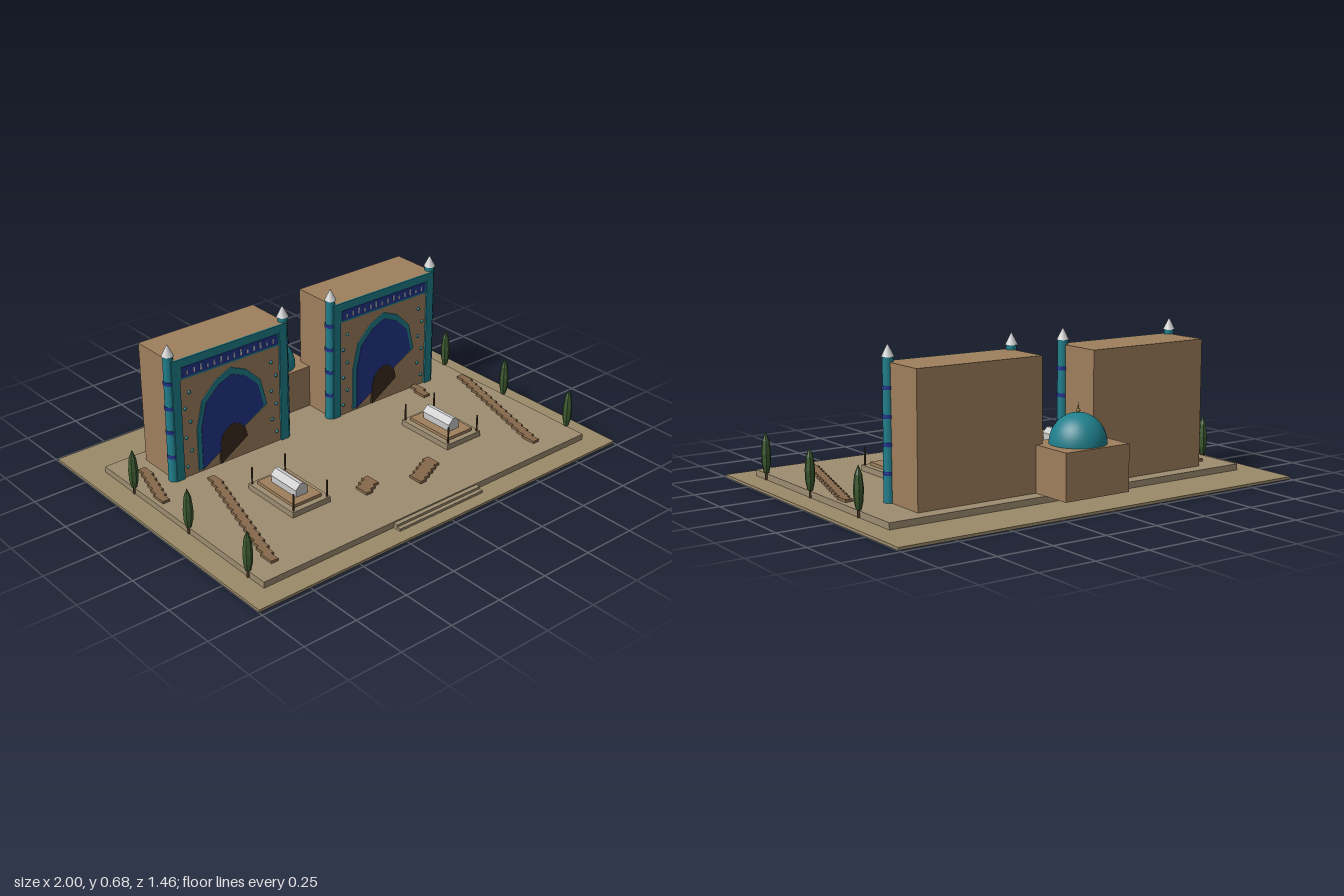
import * as THREE from 'three';

const mat = (color, flatShading = false) => new THREE.MeshStandardMaterial({ color, flatShading });
const M = {
  ground: mat(0x9a8a6a), paving: mat(0x9c8c70), brick: mat(0x9f7f5c), teal: mat(0x1f7f8c),
  blue: mat(0x24358c), stone: mat(0xcccccc), door: mat(0x3a2b1e), grave: mat(0x86694b, true),
  leaf: mat(0x3c5a30, true), trunk: mat(0x4d3826), gold: mat(0x8a7038),
};

function add(parent, name, geometry, material, x = 0, y = 0, z = 0) {
  const mesh = new THREE.Mesh(geometry, material);
  mesh.name = name;
  mesh.position.set(x, y, z);
  parent.add(mesh);
  return mesh;
}

// Box given by its limits on each axis
function block(parent, name, material, x0, x1, y0, y1, z0, z1) {
  return add(parent, name, new THREE.BoxGeometry(x1 - x0, y1 - y0, z1 - z0), material,
    (x0 + x1) / 2, (y0 + y1) / 2, (z0 + z1) / 2);
}

function group(parent, name, x = 0, y = 0, z = 0) {
  const g = new THREE.Group();
  g.name = name;
  g.position.set(x, y, z);
  parent.add(g);
  return g;
}

// Pointed arch panel: left jamb to the floor, closed by a slanting lower edge
function archPanel(parent, name, material, w, base, spring, peak, z, depth) {
  const rise = peak - spring;
  const half = [[1, 0], [0.83, 0.55], [0.44, 0.85]];
  const pts = [
    [-w, base],
    ...half.map(([a, b]) => [-w * a, spring + rise * b]),
    [0, peak],
    ...half.reverse().map(([a, b]) => [w * a, spring + rise * b]),
  ];
  const shape = new THREE.Shape(pts.map(([x, y]) => new THREE.Vector2(x, y)));
  add(parent, name, new THREE.ExtrudeGeometry(shape, { depth, bevelEnabled: false }), material, 0, 0, z);
}

function minaret(parent, x) {
  const g = group(parent, 'minaret', x, 0, -0.22);
  add(g, 'minaretShaft', new THREE.CylinderGeometry(0.022, 0.025, 0.59, 12), M.teal, 0, 0.335, 0);
  for (const y of [0.16, 0.277, 0.39, 0.506])
    add(g, 'minaretBand', new THREE.CylinderGeometry(0.026, 0.026, 0.016, 12), M.blue, 0, y, 0);
  add(g, 'minaretCap', new THREE.ConeGeometry(0.027, 0.053, 12), M.stone, 0, 0.654, 0);
}

function portal(parent, x) {
  const g = group(parent, 'portal', x);
  const front = -0.2;
  block(g, 'portalBody', M.brick, -0.3, 0.3, 0.04, 0.607, -0.435, front);
  // Tiled frame and frieze
  block(g, 'frameTop', M.teal, -0.3, 0.3, 0.575, 0.607, front, front + 0.008);
  for (const s of [-1, 1])
    block(g, 'frameSide', M.teal, s * 0.28 - 0.02, s * 0.28 + 0.02, 0.04, 0.575, front, front + 0.008);
  block(g, 'friezeBorder', M.teal, -0.26, 0.26, 0.51, 0.575, front, front + 0.004);
  block(g, 'frieze', M.blue, -0.25, 0.25, 0.519, 0.567, front, front + 0.007);
  for (let i = 0; i < 14; i++) {
    const h = 0.016 + 0.006 * (i % 3), bx = -0.224 + i * 0.0345;
    block(g, 'friezeBar', M.stone, bx - 0.003, bx + 0.003, 0.53, 0.53 + h, front, front + 0.01);
  }
  // Nested arch panels
  archPanel(g, 'archBorder', M.teal, 0.185, 0.05, 0.25, 0.487, front, 0.006);
  archPanel(g, 'archNiche', M.blue, 0.165, 0.05, 0.25, 0.457, front, 0.009);
  archPanel(g, 'doorway', M.door, 0.072, 0.045, 0.135, 0.222, front, 0.012);
  // Tile studs beside the arch
  for (const s of [-1, 1])
    for (let i = 0; i < 6; i++)
      add(g, 'tileStud', new THREE.SphereGeometry(0.008, 8, 6), M.teal,
        s * (i % 2 ? 0.215 : 0.24), 0.09 + i * 0.07, front);
  for (const s of [-1, 1]) minaret(g, s * 0.298);
}

function domedChamber(parent) {
  const g = group(parent, 'domedChamber', 0, 0, -0.502);
  block(g, 'chamberWalls', M.brick, -0.163, 0.163, 0.04, 0.242, -0.133, 0.133);
  add(g, 'dome', new THREE.SphereGeometry(0.121, 32, 12, 0, Math.PI * 2, 0, Math.PI / 2), M.teal, 0, 0.242, 0)
    .scale.y = 1.06;
  add(g, 'finialBall', new THREE.SphereGeometry(0.009, 10, 8), M.gold, 0, 0.378, 0);
  add(g, 'finialSpike', new THREE.ConeGeometry(0.005, 0.036, 8), M.gold, 0, 0.396, 0);
}

function tomb(parent, x) {
  const g = group(parent, 'tomb', x, 0, 0.196);
  block(g, 'tombBase', M.paving, -0.1, 0.1, 0.04, 0.066, -0.15, 0.15);
  block(g, 'tombStep', M.brick, -0.073, 0.073, 0.066, 0.08, -0.124, 0.124);
  block(g, 'sarcophagus', M.stone, -0.03, 0.03, 0.08, 0.115, -0.083, 0.083);
  const gable = new THREE.Shape([[-0.033, 0.113], [0.033, 0.113], [0.008, 0.138], [-0.008, 0.138]]
    .map(([a, b]) => new THREE.Vector2(a, b)));
  add(g, 'sarcophagusLid', new THREE.ExtrudeGeometry(gable, { depth: 0.17, bevelEnabled: false }),
    M.stone, 0, 0, -0.085);
  for (const sx of [-1, 1])
    for (const sz of [-1, 1])
      add(g, 'cornerPost', new THREE.CylinderGeometry(0.004, 0.004, 0.105, 8), M.trunk,
        sx * 0.088, 0.0925, sz * 0.14);
}

// Row of small round-topped graves between two points
function graveRow(parent, n, x0, z0, x1, z1) {
  const g = group(parent, 'graveRow');
  const top = new THREE.CylinderGeometry(0.015, 0.015, 0.066, 8, 1, false, -Math.PI / 2, Math.PI);
  top.rotateX(-Math.PI / 2);
  for (let i = 0; i < n; i++) {
    const t = i / (n - 1), x = x0 + (x1 - x0) * t, z = z0 + (z1 - z0) * t;
    block(g, 'graveBase', M.grave, x - 0.017, x + 0.017, 0.04, 0.052, z - 0.035, z + 0.035);
    const cap = add(g, 'graveTop', top, M.grave, x, 0.052, z);
    cap.rotation.z = Math.PI;
    cap.material = M.graveTop;
  }
}
M.graveTop = new THREE.MeshStandardMaterial({ color: 0x86694b, flatShading: true, side: THREE.DoubleSide });

function cypress(parent, x, z) {
  const g = group(parent, 'cypress', x, 0, z);
  add(g, 'cypressTrunk', new THREE.CylinderGeometry(0.006, 0.007, 0.06, 6), M.trunk, 0, 0.04, 0);
  const profile = [[0, 0.04], [0.012, 0.045], [0.02, 0.08], [0.022, 0.13], [0.016, 0.185], [0, 0.226]];
  add(g, 'cypressCrown', new THREE.LatheGeometry(profile.map(([r, y]) => new THREE.Vector2(r, y)), 7), M.leaf);
}

export function createModel() {
  const model = new THREE.Group();
  model.name = 'shrineComplex';

  // Ground, platform and entrance steps
  block(model, 'ground', M.ground, -1, 1, 0, 0.012, -0.73, 0.73);
  block(model, 'platform', M.paving, -0.9, 0.9, 0.012, 0.04, -0.5, 0.63);
  block(model, 'upperStep', M.paving, -0.235, 0.235, 0.012, 0.034, 0.63, 0.65);
  block(model, 'lowerStep', M.paving, -0.235, 0.235, 0.012, 0.023, 0.65, 0.668);

  for (const s of [-1, 1]) {
    portal(model, s * 0.432);
    tomb(model, s * 0.434);
    for (const z of [-0.27, 0.13, 0.53]) cypress(model, s * 0.9, z);
  }
  domedChamber(model);

  graveRow(model, 14, -0.607, -0.09, -0.785, 0.515);
  graveRow(model, 14, 0.862, -0.09, 0.683, 0.515);
  graveRow(model, 6, -0.797, -0.335, -0.863, -0.12);
  graveRow(model, 2, 0.622, -0.16, 0.605, -0.115);
  graveRow(model, 3, -0.17, 0.37, -0.108, 0.335);
  graveRow(model, 5, 0.066, 0.447, 0.2, 0.382);
  return model;
}
